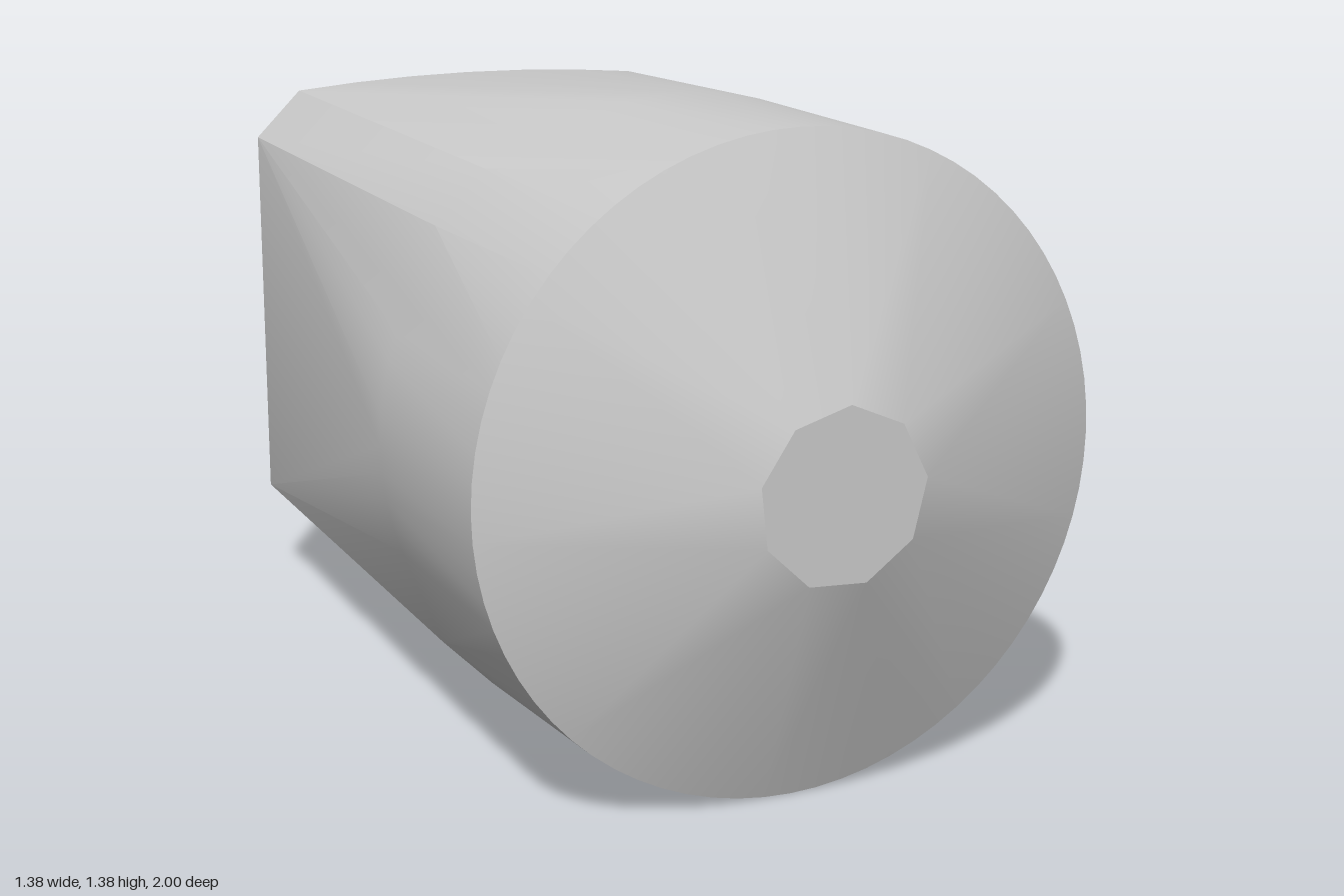
import * as THREE from 'three';
import { ConvexGeometry } from 'three/addons/geometries/ConvexGeometry.js';
import { toCreasedNormals } from 'three/addons/utils/BufferGeometryUtils.js';

const CY = 0.69; // height of the long axis

// Ring of points around the long axis
function ring(radius, z, sides, offset = 0) {
  return Array.from({ length: sides }, (_, i) => {
    const a = offset + (i / sides) * Math.PI * 2;
    return new THREE.Vector3(Math.cos(a) * radius, CY + Math.sin(a) * radius, z);
  });
}

// The eight corners of the chamfered square section
function corners(z, inset = 0) {
  const points = [];
  for (const sx of [-1, 1]) {
    for (const sy of [-1, 1]) {
      for (const [x, y] of [[0.45, 0.56], [0.56, 0.45]]) {
        const k = 1 - inset / 0.56;
        points.push(new THREE.Vector3(sx * x * k, CY + sy * y * k, z));
      }
    }
  }
  return points;
}

// Slightly bowed top edge at the back
function crown(z, inset = 0) {
  return [-0.3, -0.15, 0, 0.15, 0.3].map(
    (x) => new THREE.Vector3(x, 1.272 - inset - 0.022 * (x / 0.45) ** 2, z));
}

export function createModel() {
  const group = new THREE.Group();
  // Convex skin: nine-sided tip, cone, round barrel, tapering to a chamfered square
  const points = [
    ...ring(0.185, 1, 9, THREE.MathUtils.degToRad(6.5)),
    ...ring(0.69, 0.8, 72),
    ...ring(0.69, 0.28, 72),
    ...corners(0.28),
    ...corners(-0.99), ...crown(-0.99),
    ...corners(-1, 0.01), ...crown(-1, 0.01),
  ];
  const geometry = toCreasedNormals(new ConvexGeometry(points), 0.35);
  const body = new THREE.Mesh(geometry, new THREE.MeshStandardMaterial({ color: 0xcccccc }));
  body.name = 'body';
  group.add(body);
  return group;
}
